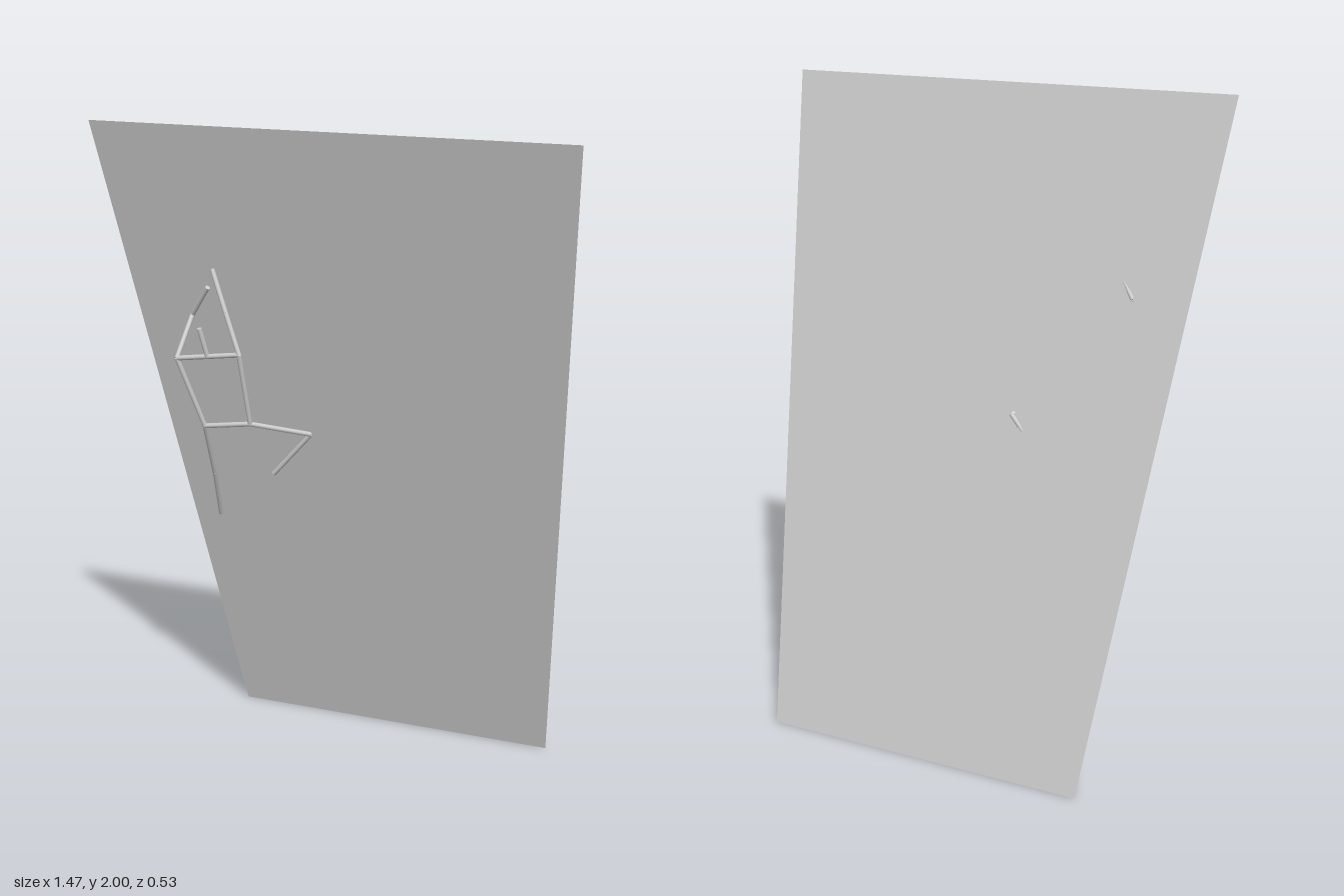
import * as THREE from 'three';

const grey = new THREE.MeshStandardMaterial({ color: 0xcccccc });
grey.name = 'light grey';
const greySheet = grey.clone();
greySheet.name = 'light grey sheet';
greySheet.side = THREE.DoubleSide;

// Joints of the climbing stick figure
const J = {
  handL: [-0.402, 1.57, 0.161], elbowL: [-0.354, 1.447, 0.176], shoulderL: [-0.307, 1.325, 0.188],
  handR: [-0.425, 1.51, 0.147], elbowR: [-0.495, 1.416, 0.113], shoulderR: [-0.51, 1.298, 0.193],
  neck: [-0.409, 1.311, 0.191], head: [-0.423, 1.4, 0.212],
  hipL: [-0.3, 1.1, 0.134], kneeL: [-0.155, 1.05, 0.012], footL: [-0.288, 0.905, -0.004],
  hipR: [-0.452, 1.078, 0.134], kneeR: [-0.47, 0.9, 0.039], footR: [-0.495, 0.735, -0.048],
};

const bones = {
  leftForearm: ['handL', 'elbowL'], leftUpperArm: ['elbowL', 'shoulderL'],
  rightForearm: ['handR', 'elbowR'], rightUpperArm: ['elbowR', 'shoulderR'],
  shoulders: ['shoulderL', 'shoulderR'], neckAndHead: ['neck', 'head'],
  leftSide: ['shoulderL', 'hipL'], rightSide: ['shoulderR', 'hipR'], hips: ['hipL', 'hipR'],
  leftThigh: ['hipL', 'kneeL'], leftShin: ['kneeL', 'footL'],
  rightThigh: ['hipR', 'kneeR'], rightShin: ['kneeR', 'footR'],
};

// Thin round rod between two joints
function rod(name, a, b) {
  const from = new THREE.Vector3(...J[a]), to = new THREE.Vector3(...J[b]);
  const dir = to.clone().sub(from);
  const mesh = new THREE.Mesh(new THREE.CylinderGeometry(0.0075, 0.0075, dir.length(), 10), grey);
  mesh.position.copy(from).add(to).multiplyScalar(0.5);
  mesh.quaternion.setFromUnitVectors(new THREE.Vector3(0, 1, 0), dir.normalize());
  mesh.name = name;
  return mesh;
}

export function createModel() {
  const model = new THREE.Group();
  model.name = 'climberOnWall';

  // Overhanging wall: a flat sheet, wider at the top and leaning forward
  const sheet = new THREE.PlaneGeometry(1, 1);
  const corners = [[-0.735, 2, 0.266], [0.735, 2, 0.266], [-0.518, 0, -0.268], [0.535, 0, -0.268]];
  corners.forEach((c, i) => sheet.attributes.position.setXYZ(i, ...c));
  sheet.computeVertexNormals();
  const wall = new THREE.Mesh(sheet, greySheet);
  wall.name = 'wall';
  model.add(wall);

  // Stick figure
  const climber = new THREE.Group();
  climber.name = 'climber';
  for (const [name, [a, b]] of Object.entries(bones)) climber.add(rod(name, a, b));
  model.add(climber);
  return model;
}
